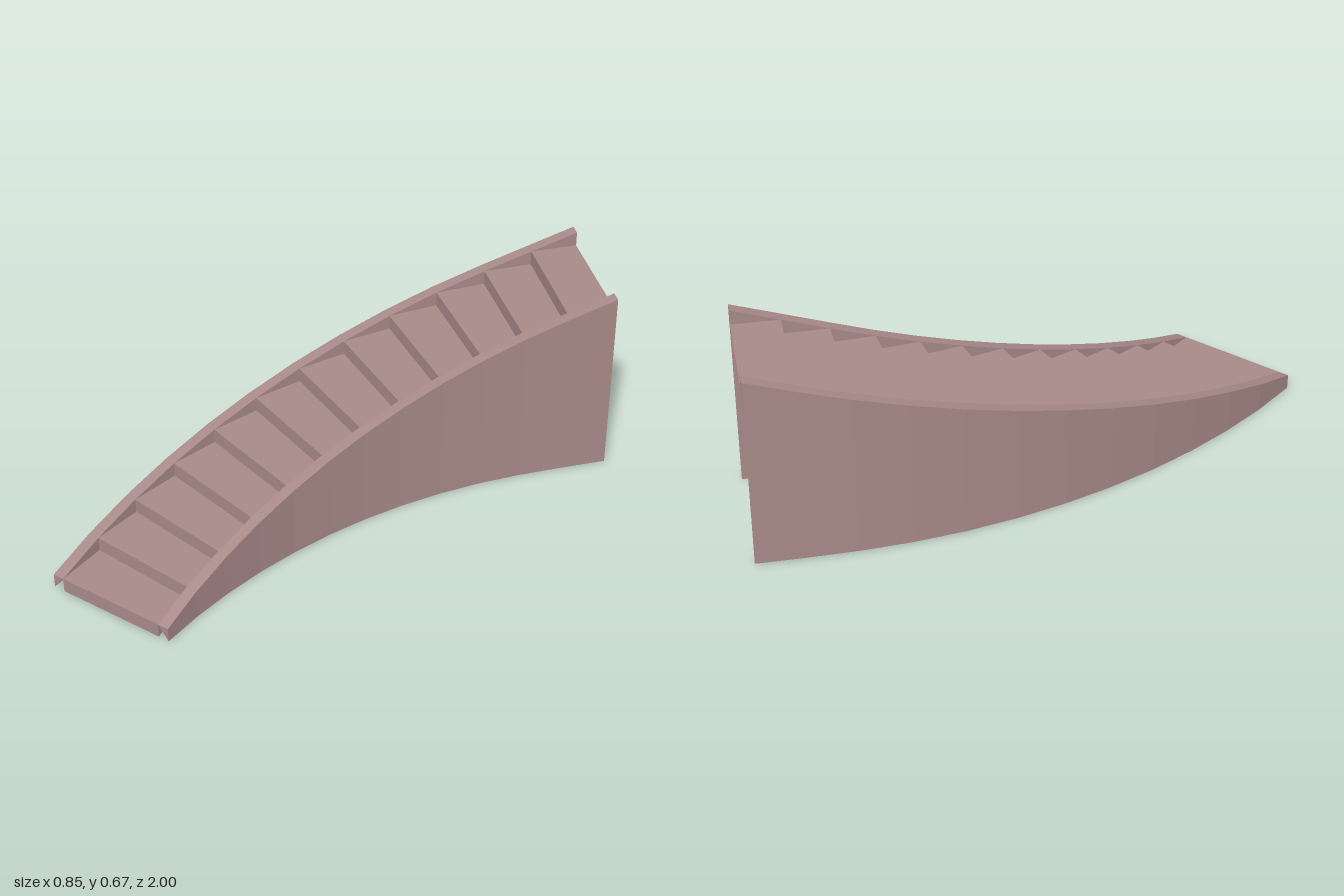
import * as THREE from 'three';

const STEPS = 12, RISE = 0.0517, STRIDE = 0.1602, HALF = 0.231, RAIL = 0.039;

// heading of the stair at step k: a steady curve that straightens at the top
const heading = k => THREE.MathUtils.degToRad(k > 10 ? Math.min(30, 27.7 + 2 * (k - 10)) : k === 0 ? -12.3 : 3.95 * (k - 3));

// centre line, walked step by step from the foot
function walkPath() {
  const path = [{ x: -0.144, z: 0.95, a: heading(0) }];
  for (let k = 1; k <= STEPS; k++) {
    const p = path[k - 1], a = heading(k), mid = (p.a + a) / 2;
    path.push({ x: p.x + STRIDE * Math.sin(mid), z: p.z - STRIDE * Math.cos(mid), a });
  }
  return path;
}

// sheet of quads, each given as four corners counter-clockwise
function sheet(name, quads, material) {
  const pos = [];
  for (const [a, b, c, d] of quads) for (const p of [a, b, c, a, c, d]) pos.push(p.x, p.y, p.z);
  const geo = new THREE.BufferGeometry();
  geo.setAttribute('position', new THREE.Float32BufferAttribute(pos, 3));
  geo.computeVertexNormals();
  const mesh = new THREE.Mesh(geo, material);
  mesh.name = name;
  return mesh;
}

export function createModel() {
  const group = new THREE.Group();
  group.name = 'curvedStaircase';
  const material = new THREE.MeshStandardMaterial({ color: 0xa88a88, flatShading: true, side: THREE.DoubleSide });
  const path = walkPath();

  // point at step k, offset sideways (positive towards +x) and at height y
  const at = (k, side, y) => {
    const p = path[k];
    return new THREE.Vector3(p.x + side * Math.cos(p.a), Math.max(0, y), p.z + side * Math.sin(p.a));
  };
  const railTop = k => RISE * (k + 1);
  const inside = HALF - RAIL;

  // thin treads and risers
  const treads = [], risers = [];
  for (let k = 0; k < STEPS; k++) {
    const low = RISE * k, high = RISE * (k + 1);
    risers.push([at(k, -inside, low), at(k, inside, low), at(k, inside, high), at(k, -inside, high)]);
    treads.push([at(k, -inside, high), at(k, inside, high), at(k + 1, inside, high), at(k + 1, -inside, high)]);
  }
  group.add(sheet('treads', treads, material), sheet('risers', risers, material));

  // side walls to the ground, with a rail along the top
  for (const s of [-1, 1]) {
    const strip = (sideA, yA, sideB, yB) => {
      const quads = [];
      for (let k = 0; k < STEPS; k++) {
        const q = [at(k, s * sideA, yA(k)), at(k, s * sideB, yB(k)), at(k + 1, s * sideB, yB(k + 1)), at(k + 1, s * sideA, yA(k + 1))];
        quads.push(s > 0 ? q : q.reverse());
      }
      return quads;
    };
    const side = new THREE.Group();
    side.name = s > 0 ? 'leftSide' : 'rightSide';
    side.add(sheet('wall', strip(HALF, railTop, HALF, () => 0), material));
    side.add(sheet('railTop', strip(inside, railTop, HALF, railTop), material));
    side.add(sheet('railInnerFace', strip(inside, k => railTop(k) - RISE, inside, railTop), material));

    // slanted rail ends
    const cap = (k, drop) => [at(k, s * inside, railTop(k) - drop), at(k, s * HALF, railTop(k) - drop - RISE),
      at(k, s * HALF, railTop(k)), at(k, s * inside, railTop(k))];
    const foot = cap(0, 0), head = cap(STEPS, RISE);
    side.add(sheet('railEnds', [s > 0 ? foot : foot.reverse(), s > 0 ? head.reverse() : head], material));
    group.add(side);
  }
  return group;
}
